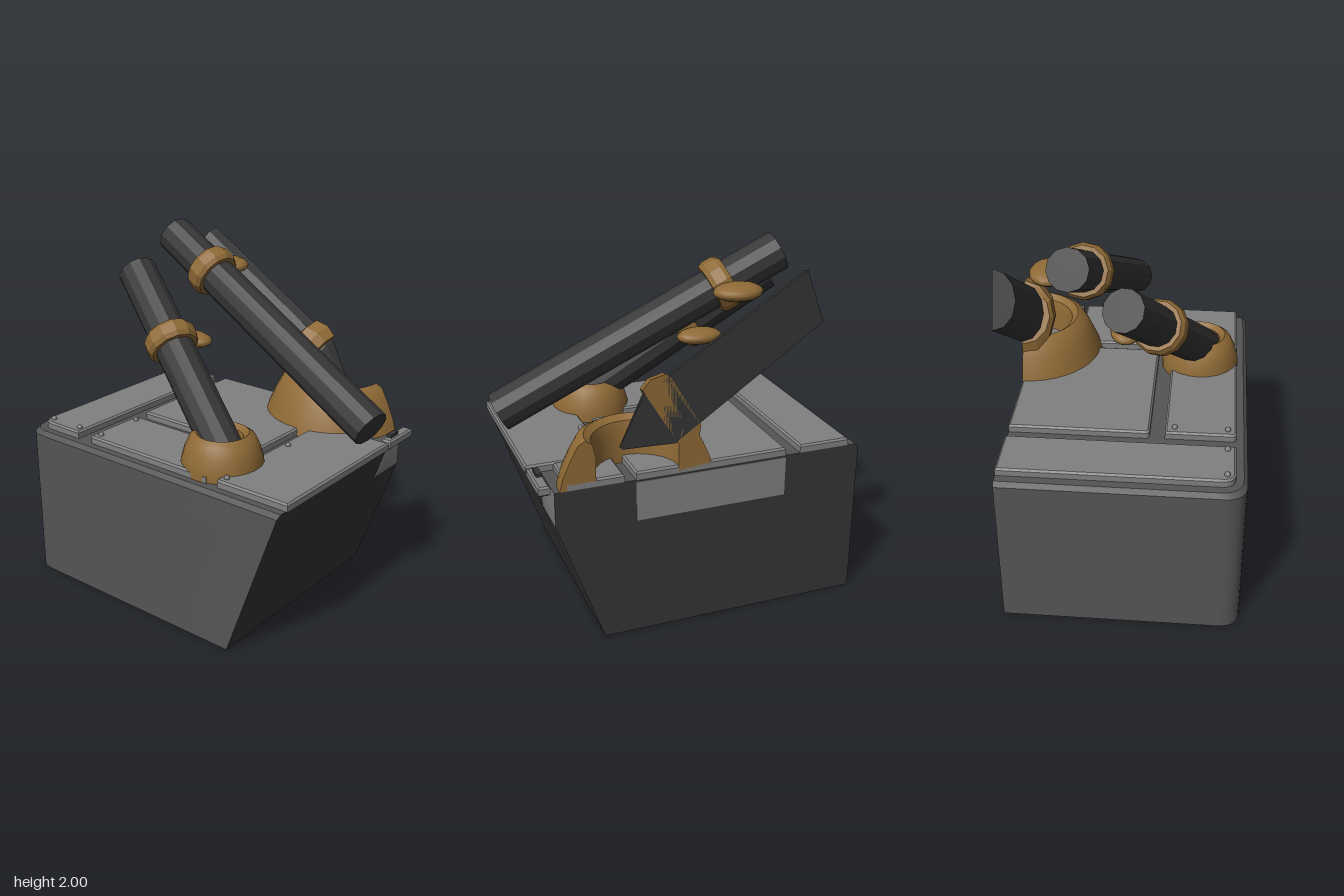
import * as THREE from 'three';
import { toCreasedNormals } from 'three/addons/utils/BufferGeometryUtils.js';

const mat = (name, color) => {
  const m = new THREE.MeshStandardMaterial({ color });
  m.name = name;
  return m;
};
const CUT = 0.63; // flat side plane

export function createModel() {
  const model = new THREE.Group();
  const hull = mat('hull grey', 0x555555);
  const dark = mat('dark grey', 0x353535);
  const panel = mat('panel grey', 0x808080);
  const gold = mat('bronze', 0x8f6a36);

  const add = (name, geo, material, x = 0, y = 0, z = 0) => {
    const m = new THREE.Mesh(geo, material);
    m.name = name;
    m.position.set(x, y, z);
    model.add(m);
    return m;
  };
  const box = (name, material, x0, x1, y0, y1, z0, z1) =>
    add(name, new THREE.BoxGeometry(x1 - x0, y1 - y0, z1 - z0), material,
      (x0 + x1) / 2, (y0 + y1) / 2, (z0 + z1) / 2);

  // Hull: plan outline pulled up, then the front is sloped and notched
  const plan = new THREE.Shape();
  plan.moveTo(-0.635, -0.6);
  for (const [x, y] of [[0.365, -0.6], [0.375, -0.6], [CUT, -0.6], [CUT, 0.95], [-0.515, 0.95]]) plan.lineTo(x, y);
  plan.quadraticCurveTo(-0.635, 0.95, -0.635, 0.83);
  plan.closePath();
  let body = new THREE.ExtrudeGeometry(plan, { depth: 3, steps: 3, bevelEnabled: false, curveSegments: 8 });
  body.rotateX(-Math.PI / 2);
  const levels = [0, 0.7, 0.865, 0.89];
  const p = body.attributes.position;
  for (let i = 0; i < p.count; i++) {
    const level = Math.round(p.getY(i));
    let x = p.getX(i), z = p.getZ(i);
    const y = levels[level];
    if (z > 0.5) {
      z = 0.51 + 0.355 * y;
      if (x > 0.37) z = Math.min(z, 0.757);
    }
    if (level === 3) {
      if (x < -0.5) x += 0.02;
      if (z < -0.8) z += 0.02;
    }
    p.setXYZ(i, x, y, z);
  }
  body = toCreasedNormals(body, 0.5);
  body.clearGroups();
  const tri = new THREE.Triangle(), n = new THREE.Vector3(), mid = new THREE.Vector3();
  for (let i = 0; i < body.attributes.position.count; i += 3) {
    tri.setFromAttributeAndIndices(body.attributes.position, i, i + 1, i + 2);
    tri.getNormal(n);
    tri.getMidpoint(mid);
    let index = n.z > 0.5 || n.x > 0.5 || n.y < -0.5 ? 1 : 0;
    if (n.z > 0.9 && mid.y > 0.7 && mid.x > 0.37) index = 2;
    body.addGroup(i, 3, index);
  }
  add('hull', body, [hull, dark, panel]);
  box('sidePlate', panel, CUT - 0.002, CUT + 0.004, 0.66, 0.88, -0.51, 0.33);

  // Raised deck panels; the rear one has a rounded corner
  const deckPanel = (name, x0, x1, z0, z1, r = 0.012) => {
    const b = 0.01, s = new THREE.Shape();
    s.moveTo(x0 + b, -z1 + b);
    s.lineTo(x1 - b, -z1 + b);
    s.lineTo(x1 - b, -z0 - b);
    s.lineTo(x0 + b + r, -z0 - b);
    s.quadraticCurveTo(x0 + b, -z0 - b, x0 + b, -z0 - b - r);
    s.closePath();
    const g = new THREE.ExtrudeGeometry(s, {
      depth: 0.032, bevelSize: b, bevelThickness: b, bevelSegments: 1, curveSegments: 5,
    });
    g.rotateX(-Math.PI / 2);
    add(name, g, panel, 0, 0.89, 0);
  };
  deckPanel('rearDeckPanel', -0.575, CUT, -0.885, -0.595, 0.06);
  deckPanel('leftDeckPanel', -0.575, -0.2, -0.505, 0.33);
  deckPanel('centreDeckPanel', -0.12, CUT, -0.51, 0.33);
  deckPanel('frontDeckPanel', -0.575, 0.37, 0.39, 0.837);
  deckPanel('frontInnerPanel', 0.37, CUT, 0.39, 0.69);
  deckPanel('frontHatch', 0.39, CUT, 0.775, 0.837);
  box('hatchLatch', dark, 0.435, 0.51, 0.92, 0.95, 0.785, 0.815);
  for (const [x, z] of [[-0.53, -0.84], [-0.53, -0.63], [-0.53, -0.46], [-0.25, -0.46], [-0.53, 0.43], [0, 0.43]])
    add('rivet', new THREE.SphereGeometry(0.016, 8, 6), panel, x, 0.936, z);

  // Ring mounts
  const points = (list) => list.map(([x, y]) => new THREE.Vector2(x, y));
  add('smallRingMount', toCreasedNormals(new THREE.LatheGeometry(points([
    [0.22, 0.89], [0.22, 0.94], [0.2, 1.01], [0.175, 1.065], [0.14, 1.09], [0.11, 1.065], [0.095, 1.0], [0.095, 0.89],
  ]), 24), 0.6), gold, -0.36, 0, 0.265);

  const ring = points([
    [0.41, 0.89], [0.39, 0.96], [0.35, 1.05], [0.31, 1.125], [0.27, 1.147], [0.235, 1.12], [0.22, 1.05], [0.22, 0.89],
  ]);
  add('largeRingMount', toCreasedNormals(new THREE.LatheGeometry(ring, 20, Math.PI, Math.PI), 0.6), gold, CUT, 0, 0.32);
  for (const side of [-1, 1]) {
    const end = new THREE.ShapeGeometry(new THREE.Shape(ring.map((v) => new THREE.Vector2(v.x * side, v.y))));
    end.rotateY(Math.PI / 2);
    add('largeRingEnd', end, gold, CUT, 0, 0.32);
  }

  // Half-round solids against the flat side: stations of [topZ, topY, lowZ, lowY, depth]
  const halfRound = (name, material, stations) => {
    const seg = 6, v = [], idx = [], row = seg + 1;
    for (const [uz, uy, lz, ly, d] of stations)
      for (let j = 0; j <= seg; j++) {
        const a = (j / seg) * Math.PI, c = Math.cos(a) / 2;
        v.push(CUT - d * Math.sin(a), (uy + ly) / 2 + (uy - ly) * c, (uz + lz) / 2 + (uz - lz) * c);
      }
    const last = stations.length - 1;
    for (let i = 0; i < last; i++)
      for (let j = 0; j <= seg; j++) {
        const k = (j + 1) % row, a = i * row + j, b = i * row + k;
        idx.push(a, a + row, b, b, a + row, b + row);
      }
    for (let j = 1; j < seg; j++) {
      idx.push(0, j, j + 1);
      idx.push(last * row, last * row + j + 1, last * row + j);
    }
    const g = new THREE.BufferGeometry();
    g.setAttribute('position', new THREE.Float32BufferAttribute(v, 3));
    g.setIndex(idx);
    add(name, toCreasedNormals(g, 0.3), material);
  };
  halfRound('centreBarrel', dark, [
    [0.415, 1.085, 0.40, 1.07, 0.02], [0.29, 1.34, 0.12, 1.06, 0.115], [-0.58, 1.89, -0.685, 1.61, 0.115],
  ]);
  halfRound('centreCollar', gold, [
    [0.295, 1.37, 0.10, 1.05, 0.15], [0.25, 1.42, 0.06, 1.05, 0.17],
    [0.17, 1.44, -0.01, 1.07, 0.17], [0.14, 1.41, -0.02, 1.14, 0.15],
  ]);

  // Free barrels, each with a bevelled collar and an oval lug beside it
  const barrel = (name, low, high, radius, t, lug) => {
    const a = new THREE.Vector3(...low), b = new THREE.Vector3(...high);
    const dir = b.clone().sub(a), length = dir.length();
    const turn = new THREE.Quaternion().setFromUnitVectors(new THREE.Vector3(0, 1, 0), dir.normalize());
    const place = (m, f) => {
      m.position.lerpVectors(a, b, f);
      m.quaternion.copy(turn);
    };
    const tube = new THREE.CylinderGeometry(radius, radius, length, 12);
    place(add(name, toCreasedNormals(tube, 0.4), dark), 0.5);
    const r = radius + 0.038;
    const band = new THREE.LatheGeometry(points([
      [radius - 0.01, -0.055], [r - 0.015, -0.055], [r, -0.03], [r, 0.03], [r - 0.015, 0.055], [radius - 0.01, 0.055],
    ]), 12);
    place(add(name + 'Collar', toCreasedNormals(band, 0.3), gold), t);
    const [x, y, z, sx, sy, sz] = lug;
    add(name + 'Lug', new THREE.SphereGeometry(1, 14, 10), gold, x, y, z).scale.set(sx, sy, sz);
  };
  barrel('longBarrel', [0.07, 1.126, 0.895], [0.268, 1.906, -0.595], 0.107, 0.79, [0.4, 1.745, -0.31, 0.105, 0.048, 0.135]);
  barrel('leftBarrel', [-0.38, 0.98, 0.3], [0, 1.73, -0.65], 0.11, 0.59, [0.02, 1.395, -0.26, 0.085, 0.045, 0.13]);

  return model;
}
